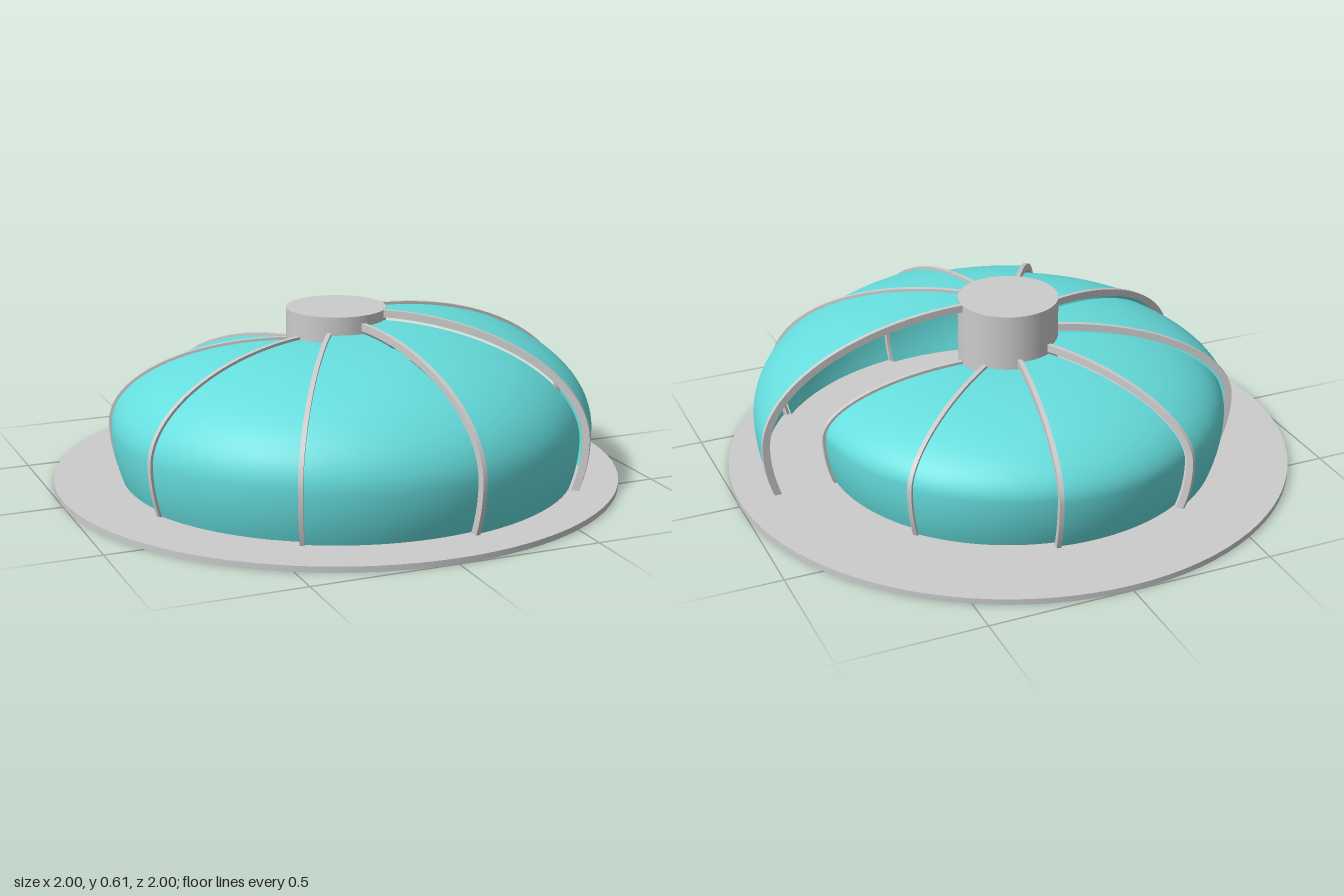
import * as THREE from 'three';
import { toCreasedNormals } from 'three/addons/utils/BufferGeometryUtils.js';

const COUNT = 9;
const STEP = (Math.PI * 2) / COUNT;
const SHRINK = 0.0268;  // each panel is this much smaller than the one before
const FLOOR = 0.02;
const WAIST = 0.2;      // height of the widest point
const HUB_R = 0.175;

// Side outline from the floor, round the shoulder, up to the hub
function outline(radius, height) {
  const pts = [];
  for (let i = 0; i < 8; i++) {
    const t = 1 - i / 8;
    pts.push(new THREE.Vector2(radius - 0.033 * t * t, WAIST - (WAIST - FLOOR) * t));
  }
  for (let i = 0; i <= 28; i++) {
    const a = (i / 28) * Math.PI / 2;
    pts.push(new THREE.Vector2(
      HUB_R - 0.01 + (radius - HUB_R + 0.01) * Math.cos(a),
      WAIST + (height - WAIST) * Math.sin(a)));
  }
  return pts;
}

export function createModel() {
  const model = new THREE.Group();
  const grey = new THREE.MeshStandardMaterial({ color: 0xcccccc });
  const teal = new THREE.MeshStandardMaterial({ color: 0x66dddd, side: THREE.DoubleSide });

  function add(name, geometry, material, y = 0) {
    const mesh = new THREE.Mesh(geometry, material);
    mesh.name = name;
    mesh.position.y = y;
    model.add(mesh);
    return mesh;
  }

  // Round base plate and central hub
  add('basePlate', new THREE.CylinderGeometry(1, 1, FLOOR, 96), grey, FLOOR / 2);
  add('hub', new THREE.CylinderGeometry(HUB_R, HUB_R, 0.61 - FLOOR, 64), grey, (0.61 + FLOOR) / 2);

  // Thin arched rib, slightly proud of the panel it carries
  function addRib(radius, height, angle) {
    const outer = outline(radius + 0.01, height + 0.01);
    const inner = outline(radius - 0.016, height - 0.016).reverse();
    const depth = 0.016;
    const geo = new THREE.ExtrudeGeometry(new THREE.Shape([...outer, ...inner]),
      { depth, bevelEnabled: false });
    geo.translate(0, 0, -depth / 2);
    add('rib', toCreasedNormals(geo, 0.6), grey).rotation.y = -angle;
  }

  // Curved panels stepping down around the hub, leaving an open mouth on +x
  addRib(0.9, 0.6, 0);
  for (let i = 0; i < COUNT; i++) {
    const radius = 0.9 - SHRINK * i;
    const height = 0.6 - SHRINK * i;
    const end = (i + 1) * STEP;
    add('panel', new THREE.LatheGeometry(outline(radius, height), 16, Math.PI / 2 - end, STEP), teal);
    addRib(radius, height, end);
  }
  return model;
}
